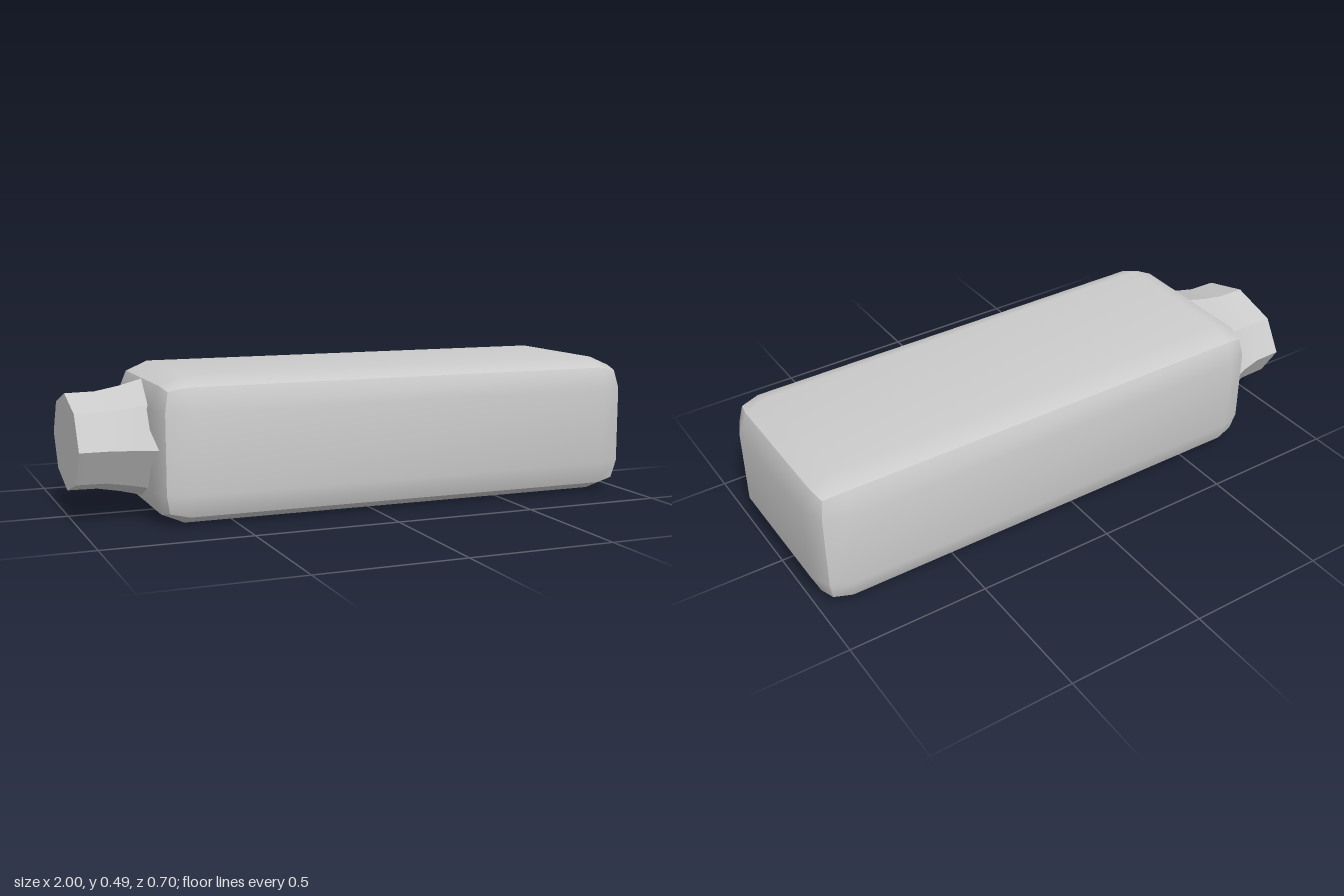
import * as THREE from 'three';

const material = new THREE.MeshStandardMaterial({ color: 0xcccccc });

// Pillowed block: a 3x3x3 box whose edges and corners are pulled inwards
function makeBody() {
  const center = [0.115, 0.246, 0];
  const inner = [0.775, 0.135, 0.24];
  // Half size on an outer layer, for points inside a face, on an edge, on a corner
  const outer = [
    [0.885, 0.246, 0.348],
    [0.8525, 0.213, 0.316],
    [0.84, 0.2, 0.303],
  ];
  const geometry = new THREE.BoxGeometry(2, 2, 2, 3, 3, 3);
  const pos = geometry.attributes.position;
  for (let i = 0; i < pos.count; i++) {
    const p = [pos.getX(i), pos.getY(i), pos.getZ(i)];
    const onOuter = p.map((v) => Math.abs(v) > 0.9);
    const extremes = onOuter.filter(Boolean).length;
    const q = p.map((v, k) => center[k] + Math.sign(v) * (onOuter[k] ? outer[extremes - 1][k] : inner[k]));
    pos.setXYZ(i, ...q);
  }
  geometry.computeVertexNormals(); // smooth within each side, sharp between sides
  const mesh = new THREE.Mesh(geometry, material);
  mesh.name = 'body';
  return mesh;
}

// Eight-sided flared neck with a flat end cap
function makeNeck() {
  const sides = 8, ry = 0.165, rz = 0.235, cy = 0.254;
  const stations = [[-1, 1], [-0.9, 1.01], [-0.82, 1.1], [-0.73, 1.24]]; // x, scale
  const positions = [], indices = [];
  for (let s = 0; s < sides; s++) {
    const base = positions.length / 3;
    for (const [x, k] of stations) {
      for (const j of [s, s + 1]) {
        const a = (j / sides) * Math.PI * 2;
        positions.push(x, cy + ry * k * Math.sin(a), rz * k * Math.cos(a));
      }
    }
    for (let i = 0; i < stations.length - 1; i++) {
      const a = base + i * 2;
      indices.push(a, a + 2, a + 3, a, a + 3, a + 1);
    }
  }
  const geometry = new THREE.BufferGeometry();
  geometry.setAttribute('position', new THREE.Float32BufferAttribute(positions, 3));
  geometry.setIndex(indices);
  geometry.computeVertexNormals();
  const wall = new THREE.Mesh(geometry, material);
  wall.name = 'neckWall';

  const capGeometry = new THREE.CircleGeometry(1, sides);
  capGeometry.scale(rz, ry, 1).rotateY(-Math.PI / 2).translate(-1, cy, 0);
  const cap = new THREE.Mesh(capGeometry, material);
  cap.name = 'neckCap';

  const neck = new THREE.Group();
  neck.name = 'neck';
  neck.add(wall, cap);
  return neck;
}

export function createModel() {
  const model = new THREE.Group();
  model.name = 'block';
  model.add(makeBody(), makeNeck());
  return model;
}
